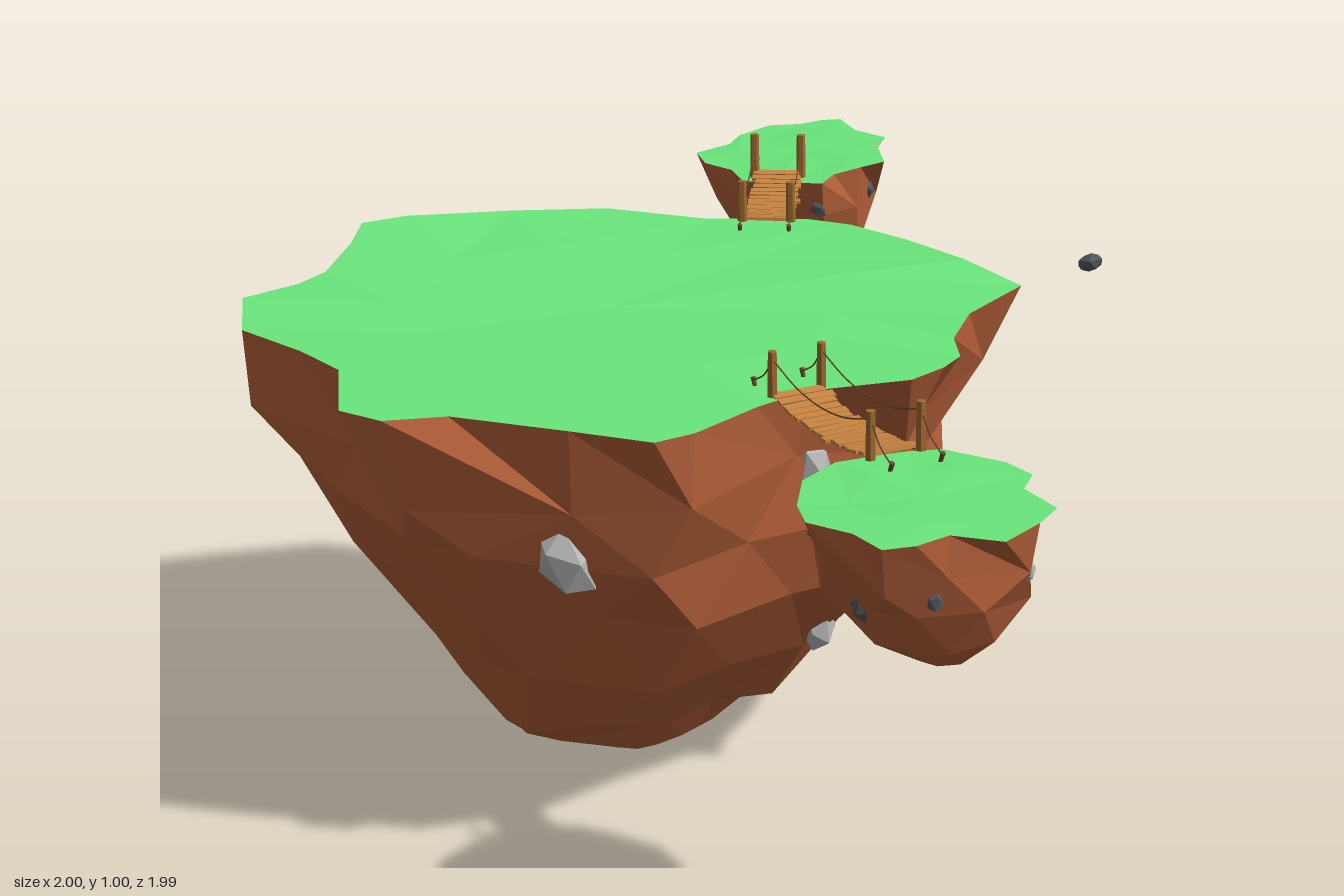
import * as THREE from 'three';

const mat = (color, side = THREE.FrontSide) =>
  new THREE.MeshStandardMaterial({ color, flatShading: true, side });
const ROCK = mat(0xb5603a), GRASS = mat(0x6ae67c, THREE.DoubleSide), WOOD = mat(0xa06a30),
  PLANK = mat(0xc88442), ROPE = mat(0x6b4a2a), LIGHT = mat(0xb8b8b8), DARK = mat(0x55585c);
const V = (x, y, z) => new THREE.Vector3(x, y, z);

// Repeatable noise in -1..1
const noise = (a, b, s) => {
  const v = Math.sin(a * 127.1 + b * 311.7 + s * 74.7) * 43758.5453;
  return (v - Math.floor(v)) * 2 - 1;
};

function add(parent, name, geometry, material) {
  const m = new THREE.Mesh(geometry, material);
  m.name = name;
  parent.add(m);
  return m;
}

// Faceted geometry from a list of corner triples, dropping collapsed triangles
function facets(tris) {
  const out = [];
  for (const [a, b, c] of tris) {
    if (new THREE.Triangle(a, b, c).getArea() > 1e-7) out.push(a, b, c);
  }
  const g = new THREE.BufferGeometry().setFromPoints(out);
  g.computeVertexNormals();
  return g;
}

// rim: [x, z] clockwise from above; levels: [y, xMin, xMax, zMin, zMax] going down
// corners: extra fullness at front left, front right, back left, back right (+x is left)
function island(parent, name, { rim, levels, rimY, seed, rough, bump, corners }) {
  const group = new THREE.Group();
  group.name = name;
  parent.add(group);
  const n = rim.length, last = levels.length - 1;
  const box = ([, x0, x1, z0, z1]) => [(x0 + x1) / 2, (x1 - x0) / 2, (z0 + z1) / 2, (z1 - z0) / 2];
  const [cx, rx, cz, rz] = box(levels[0]);
  const rings = levels.map((level, k) => {
    if (k === 0) return rim.map(([x, z]) => V(x, rimY(x, z), z));
    const [lx, lrx, lz, lrz] = box(level);
    return rim.map((_, i) => {
      // lower rings share every second point, staggered, for larger facets
      const j = (i - ((i + k) % 2) + n) % n;
      const u = (rim[j][0] - cx) / rx, v = (rim[j][1] - cz) / rz;
      const a = Math.atan2(v, u);
      const full = corners[(v < 0 ? 2 : 0) + (u < 0 ? 1 : 0)] * Math.abs(Math.sin(2 * a));
      const r = THREE.MathUtils.lerp(Math.hypot(u, v), 0.99, Math.min(1, k / last + 0.15))
        * (1 + full + rough * noise(j, k, seed));
      const y = level[0] + (k < last ? bump * noise(k, j, seed + 3) : 0);
      return V(lx + Math.cos(a) * r * lrx, y, lz + Math.sin(a) * r * lrz);
    });
  });

  // rock underside
  const body = [], bottom = levels[last], [bx, , bz] = box(bottom);
  const tip = V(bx, bottom[0] - 0.01, bz);
  for (let i = 0; i < n; i++) {
    const e = (i + 1) % n;
    for (let k = 0; k < last; k++) {
      const p = rings[k], q = rings[k + 1];
      body.push([p[e], q[e], q[i]], [p[e], q[i], p[i]]);
    }
    body.push([rings[last][i], rings[last][e], tip]);
  }
  const rock = add(group, 'rockBody', facets(body), ROCK);

  // gently uneven grass top
  const middle = V(cx, rimY(cx, cz), cz), top = [];
  const inner = rings[0].map((_, i) => {
    const j = i - (i % 2), p = rings[0][j].clone().lerp(middle, 0.4);
    p.y += 0.004 * noise(j, 9, seed);
    return p;
  });
  for (let i = 0; i < n; i++) {
    const e = (i + 1) % n, p = rings[0];
    top.push([p[i], inner[i], p[e]], [p[e], inner[i], inner[e]], [middle, inner[e], inner[i]]);
  }
  add(group, 'grassTop', facets(top), GRASS);
  return { group, rock, cx, cz };
}

function stone(parent, p, r, material, seed) {
  const m = add(parent, 'stone', new THREE.IcosahedronGeometry(r, 0), material);
  m.position.copy(p);
  m.scale.set(0.85, 1.25, 0.8);
  m.rotation.set(0.5 * noise(seed, 1, 2), noise(seed, 2, 2) * 3, 0.6 * noise(seed, 3, 2));
  return m;
}

// Stones sunk into the rock face: [x, y, z, radius, material]
function embed({ group, rock, cx, cz }, list) {
  rock.updateMatrixWorld();
  list.forEach(([x, y, z, r, m], i) => {
    const inward = V(cx - x, 0, cz - z).normalize();
    const start = V(cx, y, cz).addScaledVector(inward, -2);
    const hit = new THREE.Raycaster(start, inward).intersectObject(rock)[0];
    stone(group, hit.point.addScaledVector(inward, 0.3 * r), r, m, i);
  });
}

const tube = (pts, r) => new THREE.TubeGeometry(new THREE.CatmullRomCurve3(pts), 12, r, 5);

// Rope bridge between two [x, z] ends
function bridge(parent, name, from, to) {
  const g = new THREE.Group();
  g.name = name;
  const dx = to[0] - from[0], dz = to[1] - from[1], len = Math.hypot(dx, dz), h = len / 2;
  g.position.set((from[0] + to[0]) / 2, 0, (from[1] + to[1]) / 2);
  g.rotation.y = -Math.atan2(dz, dx);
  parent.add(g);
  const sag = (x, end, drop) => end - drop * (1 - (x / h) ** 2);
  const steps = [-1, -0.5, 0, 0.5, 1].map(t => t * h);

  const count = 17;
  for (let i = 0; i < count; i++) {
    const x = -h + len * (i + 0.5) / count;
    const p = add(g, 'plank', new THREE.BoxGeometry(0.018, 0.006, 0.104 + 0.008 * noise(i, 4, 1)), PLANK);
    p.position.set(x, sag(x, 0.864, 0.022), 0.004 * noise(i, 5, 1));
    p.rotation.set(0, 0.08 * noise(i, 6, 1), 0.044 * x / (h * h));
  }
  for (const s of [-1, 1]) {
    const z = s * 0.05;
    add(g, 'handRope', tube(steps.map(x => V(x, sag(x, 0.93, 0.035), z)), 0.0015), ROPE);
    add(g, 'deckRope', tube(steps.map(x => V(x, sag(x, 0.859, 0.022), z * 0.8)), 0.002), ROPE);
    for (const e of [-1, 1]) {
      const post = add(g, 'post', new THREE.CylinderGeometry(0.009, 0.01, 0.1, 6), WOOD);
      post.position.set(e * h, 0.895, z);
      const peg = add(g, 'peg', new THREE.CylinderGeometry(0.005, 0.004, 0.025, 5), ROPE);
      peg.position.set(e * (h + 0.068), 0.863, z);
      peg.rotation.z = -e * 0.4;
      add(g, 'anchorRope', tube([V(e * h, 0.93, z), V(e * (h + 0.03), 0.892, z),
        V(e * (h + 0.068), 0.87, z)], 0.0015), ROPE);
    }
  }
}

export function createModel() {
  const model = new THREE.Group();
  model.name = 'floatingIslands';

  const main = island(model, 'mainIsland', {
    seed: 1, rough: 0.045, bump: 0.03, corners: [.06, .07, 0, .08],
    rim: [[-1, .29], [-.975, .19], [-.87, 0], [-.76, -.17], [-.57, -.27], [-.41, -.41], [-.32, -.44],
      [-.17, -.44], [0, -.42], [.165, -.4], [.2, -.2], [.27, -.07], [.345, 0], [.39, .1], [.39, .19],
      [.29, .36], [.28, .48], [.29, .65], [.27, .73], [.12, .79], [-.09, .88], [-.16, .975], [-.255, .99],
      [-.42, .85], [-.55, .83], [-.72, .83], [-.84, .73], [-.83, .6], [-.845, .52], [-.93, .38]],
    levels: [[.86, -1, .39, -.44, .99], [.71, -.9, .34, -.39, .95], [.59, -.78, .31, -.36, .92],
      [.44, -.71, .27, -.32, .84], [.28, -.6, .15, -.21, .72], [.14, -.565, .03, -.09, .62],
      [.075, -.48, -.06, 0, .55], [.01, -.27, -.13, .1, .4]],
    rimY: (x, z) => 0.86 + 0.1 * Math.max(0, -x - 0.7) - (x > 0.15 && z < 0.1 ? 0.015 : 0),
  });
  embed(main, [[.08, .6, .765, .065, LIGHT], [.28, .69, .315, .048, LIGHT], [.22, .51, -.065, .038, DARK],
    [.16, .3, .18, .042, LIGHT], [-.4, .51, -.26, .036, DARK], [-.32, .12, .02, .04, DARK],
    [-.65, .44, .5, .045, DARK], [-.5, .25, .41, .034, DARK]]);

  const side = island(model, 'sideIsland', {
    seed: 5, rough: 0.07, bump: 0.014, corners: [.03, .03, .03, .03],
    rim: [[.555, .58], [.59, .5], [.61, .46], [.65, .41], [.7, .4], [.77, .385], [.84, .4], [.87, .46],
      [.965, .49], [.985, .56], [.995, .66], [.91, .7], [.9, .77], [.87, .82], [.79, .8], [.7, .815],
      [.64, .77], [.57, .68]],
    levels: [[.855, .555, .995, .385, .82], [.77, .57, .97, .4, .8], [.7, .61, .94, .43, .77],
      [.63, .69, .91, .49, .71], [.588, .75, .87, .55, .66]],
    rimY: () => 0.855,
  });
  embed(side, [[.62, .79, .72, .02, DARK], [.76, .7, .76, .024, DARK], [.9, .74, .72, .02, DARK],
    [.95, .76, .55, .02, LIGHT], [.9, .65, .5, .016, LIGHT], [.75, .72, .45, .016, LIGHT]]);

  const back = island(model, 'backIsland', {
    seed: 8, rough: 0.07, bump: 0.014, corners: [.03, .03, .03, .03],
    rim: [[-.85, -1], [-.77, -.96], [-.68, -.96], [-.65, -.9], [-.57, -.83], [-.585, -.77], [-.6, -.7],
      [-.58, -.64], [-.67, -.58], [-.73, -.55], [-.8, -.59], [-.88, -.59], [-.945, -.63], [-.93, -.72],
      [-.955, -.78], [-.95, -.87], [-.9, -.92], [-.88, -.97]],
    levels: [[.86, -.955, -.57, -1, -.55], [.76, -.93, -.59, -.95, -.59], [.68, -.89, -.62, -.92, -.61],
      [.61, -.84, -.66, -.89, -.65], [.57, -.8, -.71, -.83, -.73]],
    rimY: (x, z) => 0.86 - 0.05 * (z + 0.8),
  });
  embed(back, [[-.6, .79, -.65, .02, DARK], [-.6, .79, -.85, .02, DARK], [-.65, .68, -.75, .016, LIGHT],
    [-.78, .72, -.95, .02, LIGHT]]);

  bridge(model, 'sideBridge', [.278, .375], [.608, .485]);
  bridge(model, 'backBridge', [-.465, -.342], [-.688, -.617]);

  // loose stone hovering beside the main island
  stone(model, V(.43, .98, -.275), .026, DARK, 20).scale.set(1.05, 0.7, 1);
  return model;
}
